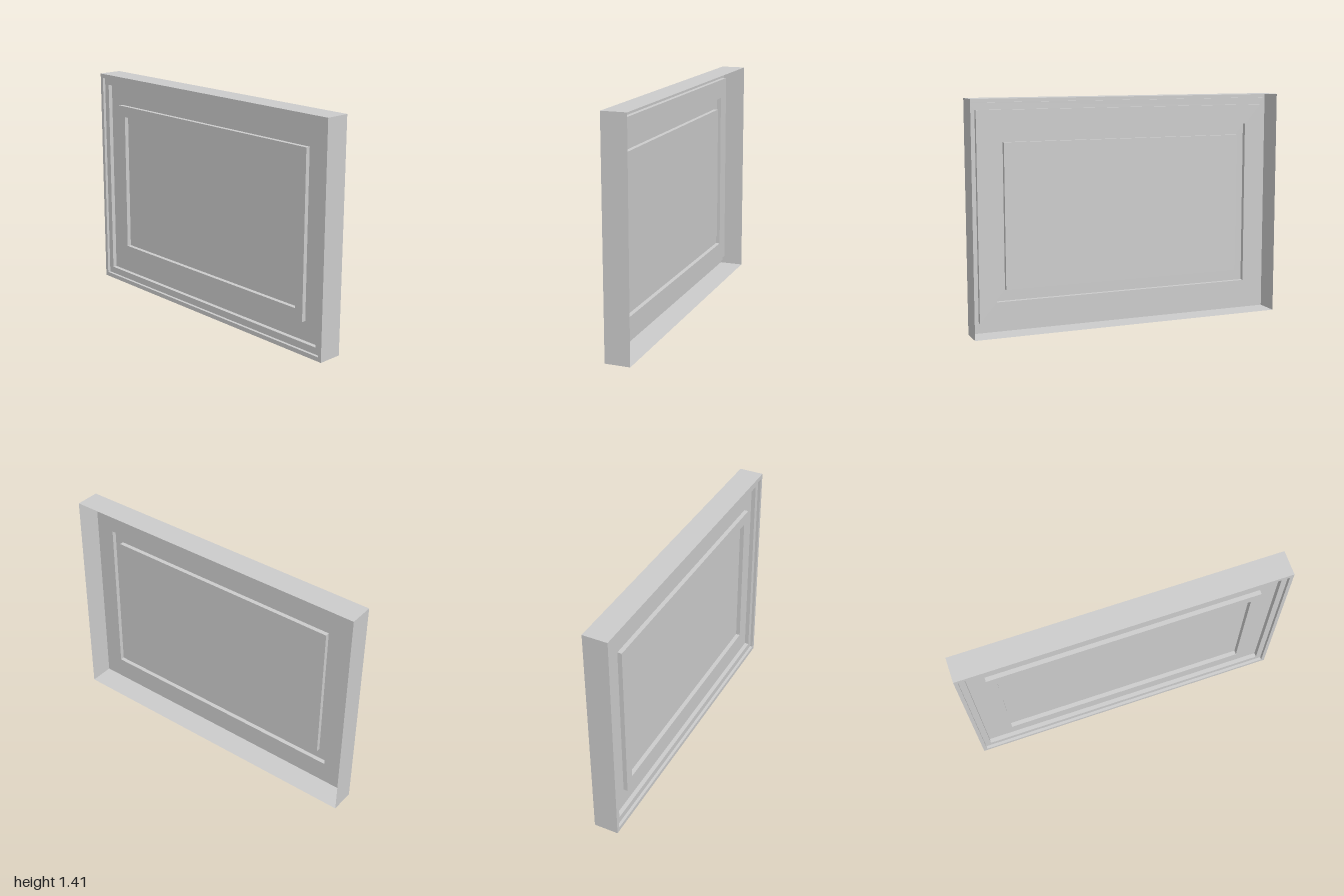
import * as THREE from 'three';

const WIDTH = 2, HEIGHT = 1.41, FRONT = 0.077;

// Rectangular loop, inset from the outer edge, at depth z
const loop = (insetX, insetY, z) => {
  const x = WIDTH / 2 - insetX, y0 = insetY, y1 = HEIGHT - insetY;
  return [[-x, y0, z], [x, y0, z], [x, y1, z], [-x, y1, z]];
};

// Mitred band of four flat quads per pair of consecutive loops
function bandGeometry(loops) {
  const pos = [];
  for (let k = 0; k < loops.length - 1; k++) {
    const a = loops[k], b = loops[k + 1];
    for (let i = 0; i < 4; i++) {
      const j = (i + 1) % 4;
      pos.push(...a[i], ...a[j], ...b[j], ...a[i], ...b[j], ...b[i]);
    }
  }
  const geometry = new THREE.BufferGeometry();
  geometry.setAttribute('position', new THREE.Float32BufferAttribute(pos, 3));
  geometry.computeVertexNormals();
  return geometry;
}

export function createModel() {
  const group = new THREE.Group();
  const material = new THREE.MeshStandardMaterial({ color: 0xcccccc, side: THREE.DoubleSide });
  const add = (name, geometry) => {
    const mesh = new THREE.Mesh(geometry, material);
    mesh.name = name;
    group.add(mesh);
    return mesh;
  };

  // Steps of the moulding from the outside in: inset in x, inset in y, depth of the flat
  const steps = [
    ['outerRim', 0, 0, 0],
    ['outerStep', 0.023, 0.027, 0.018],
    ['groove', 0.06, 0.07, 0.045],
    ['innerRidge', 0.167, 0.192, 0.018],
  ];
  const panel = { x: 0.226, y: 0.262, z: FRONT - 0.045 };

  // Each band starts with its riser and ends at the next inset; the first riser is the side wall
  let z = -FRONT;
  steps.forEach(([name, ix, iy, depth], i) => {
    const flat = FRONT - depth;
    const [nx, ny] = i + 1 < steps.length ? steps[i + 1].slice(1, 3) : [panel.x, panel.y];
    const riser = [loop(ix, iy, z), loop(ix, iy, flat)];
    if (i === 0) add('sideWalls', bandGeometry(riser));
    else add(name + 'Edge', bandGeometry(riser));
    add(name, bandGeometry([loop(ix, iy, flat), loop(nx, ny, flat)]));
    z = flat;
  });

  // Sunken picture panel, and the edge leading down to it
  add('panelEdge', bandGeometry([loop(panel.x, panel.y, z), loop(panel.x, panel.y, panel.z)]));
  add('panel', new THREE.PlaneGeometry(WIDTH - 2 * panel.x, HEIGHT - 2 * panel.y))
    .position.set(0, HEIGHT / 2, panel.z);

  return group;
}
